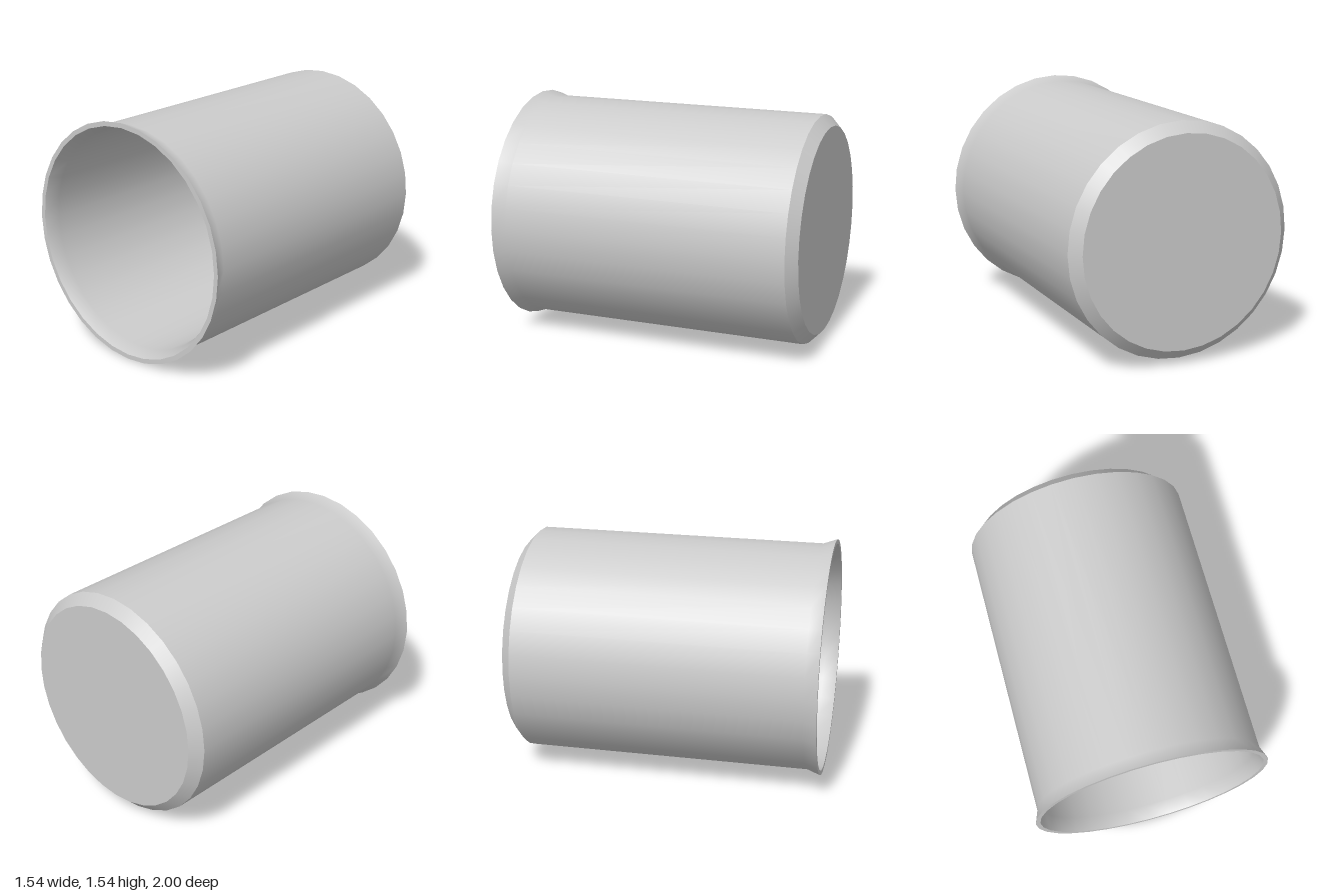
import * as THREE from 'three';

const SIDES = 32;
const CENTER_Y = 0.774;

export function createModel() {
  const group = new THREE.Group();
  group.name = 'cup';
  const material = new THREE.MeshStandardMaterial({ color: 0xcccccc });

  // Turned surface around the z axis; profile points are [radius, z].
  // Separate bands keep the edges between them sharp.
  const band = (name, profile) => {
    const points = profile.map(([r, z]) => new THREE.Vector2(r, z));
    const geometry = new THREE.LatheGeometry(points, SIDES).rotateX(Math.PI / 2);
    const mesh = new THREE.Mesh(geometry, material);
    mesh.name = name;
    mesh.position.y = CENTER_Y;
    group.add(mesh);
  };

  // Outside, from the closed back to the flared mouth
  band('backFace', [[0, -1], [0.67, -1]]);
  band('backChamfer', [[0.67, -1], [0.737, -0.935]]);
  band('outerWall', [[0.737, -0.935], [0.737, 0.915], [0.768, 1]]);

  // Flat lip
  band('rim', [[0.768, 1], [0.738, 1]]);

  // Inside, from the mouth down to the floor
  band('innerWall', [[0.738, 1], [0.706, 0.91], [0.706, -0.922]]);
  band('innerChamfer', [[0.706, -0.922], [0.661, -0.967]]);
  band('floor', [[0.661, -0.967], [0, -0.967]]);

  return group;
}
